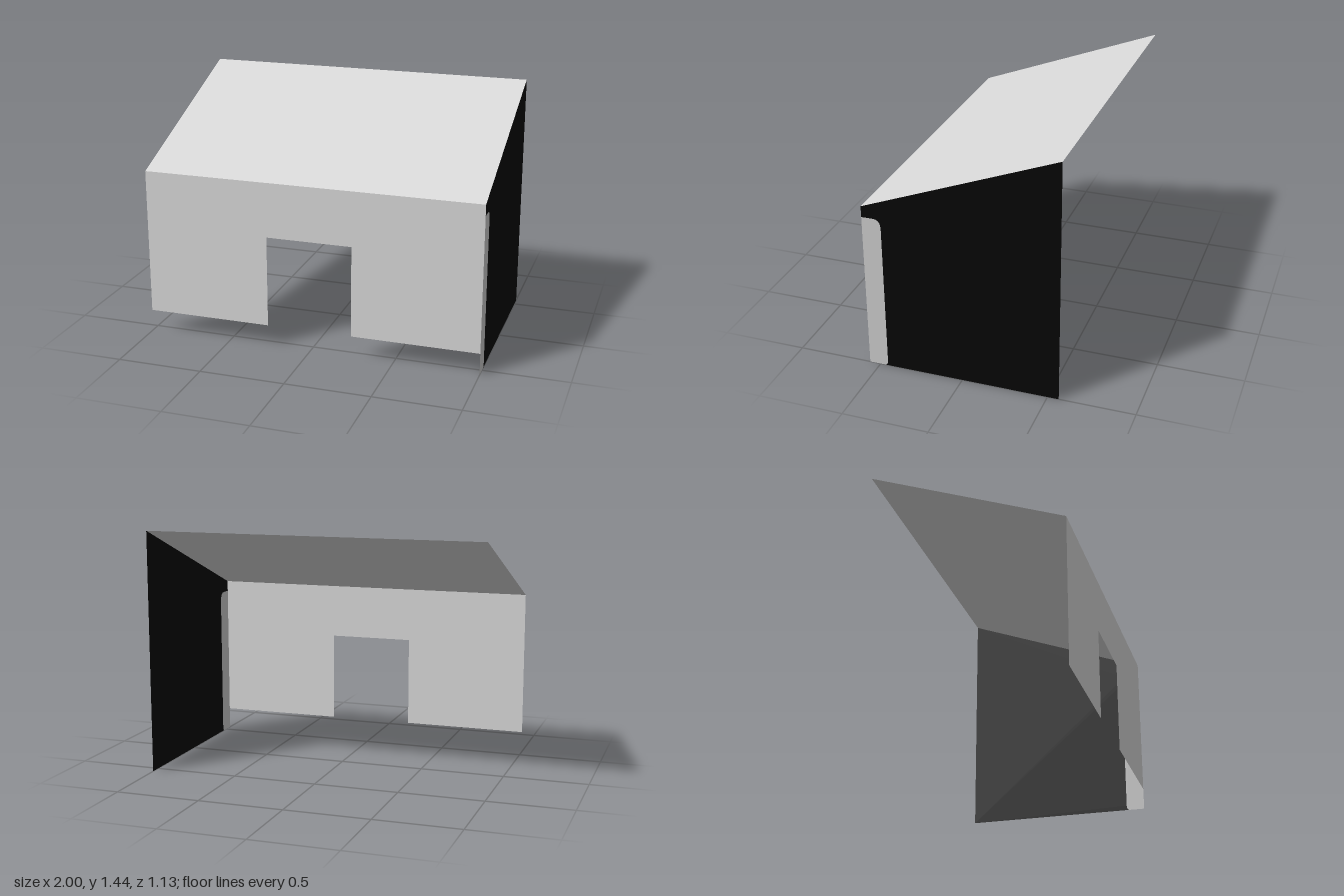
import * as THREE from 'three';

const HALF_W = 1, HALF_D = 0.565;
const EAVE = 1.0, RIDGE = 1.435;

function material(name, color) {
  const m = new THREE.MeshStandardMaterial({ color, side: THREE.DoubleSide });
  m.name = name;
  return m;
}

function sheet(name, shape, mat) {
  const mesh = new THREE.Mesh(new THREE.ShapeGeometry(shape, 8), mat);
  mesh.name = name;
  return mesh;
}

const polygon = (pts) => new THREE.Shape(pts.map(([x, y]) => new THREE.Vector2(x, y)));

export function createModel() {
  const group = new THREE.Group();
  group.name = 'openShelter';
  const lightGrey = material('light grey', 0xd8d8d8);
  const trimGrey = material('trim grey', 0xcacaca);
  const black = material('black', 0x060606);

  // Front wall with a doorway open at the bottom
  const base = 0.13, doorL = -0.257, doorR = 0.25, doorTop = 0.674;
  const front = sheet('frontWall', polygon([
    [-HALF_W, base], [doorL, base], [doorL, doorTop], [doorR, doorTop],
    [doorR, base], [HALF_W, base], [HALF_W, EAVE], [-HALF_W, EAVE],
  ]), lightGrey);
  front.position.z = HALF_D;
  group.add(front);

  // Sloping roof, rising towards the back
  const rise = RIDGE - EAVE, depth = 2 * HALF_D;
  const roof = new THREE.Mesh(new THREE.PlaneGeometry(2 * HALF_W, Math.hypot(rise, depth)), lightGrey);
  roof.name = 'roof';
  roof.rotation.x = -Math.PI / 2 + Math.atan2(rise, depth);
  roof.position.y = (EAVE + RIDGE) / 2;
  group.add(roof);

  // Side wall, drawn with -z as the horizontal axis; the trim fills its front edge
  const f = -HALF_D, inner = -0.453, trimTop = 0.935;
  const trim = new THREE.Shape();
  trim.moveTo(f, 0);
  trim.lineTo(inner - 0.018, 0);
  trim.quadraticCurveTo(inner, 0.004, inner, 0.03);
  trim.lineTo(inner, trimTop - 0.06);
  trim.quadraticCurveTo(inner, trimTop, inner - 0.045, trimTop);
  trim.lineTo(f, trimTop);
  const edge = trim.getPoints(8).map((p) => [p.x, p.y]).slice(1);
  const wall = polygon([...edge, [f, EAVE], [HALF_D, RIDGE], [HALF_D, 0]]);

  const side = new THREE.Group();
  side.name = 'leftSide';
  side.add(sheet('sideWall', wall, black), sheet('sideTrim', trim, trimGrey));
  side.rotation.y = Math.PI / 2;
  side.position.x = HALF_W;
  group.add(side);

  return group;
}
